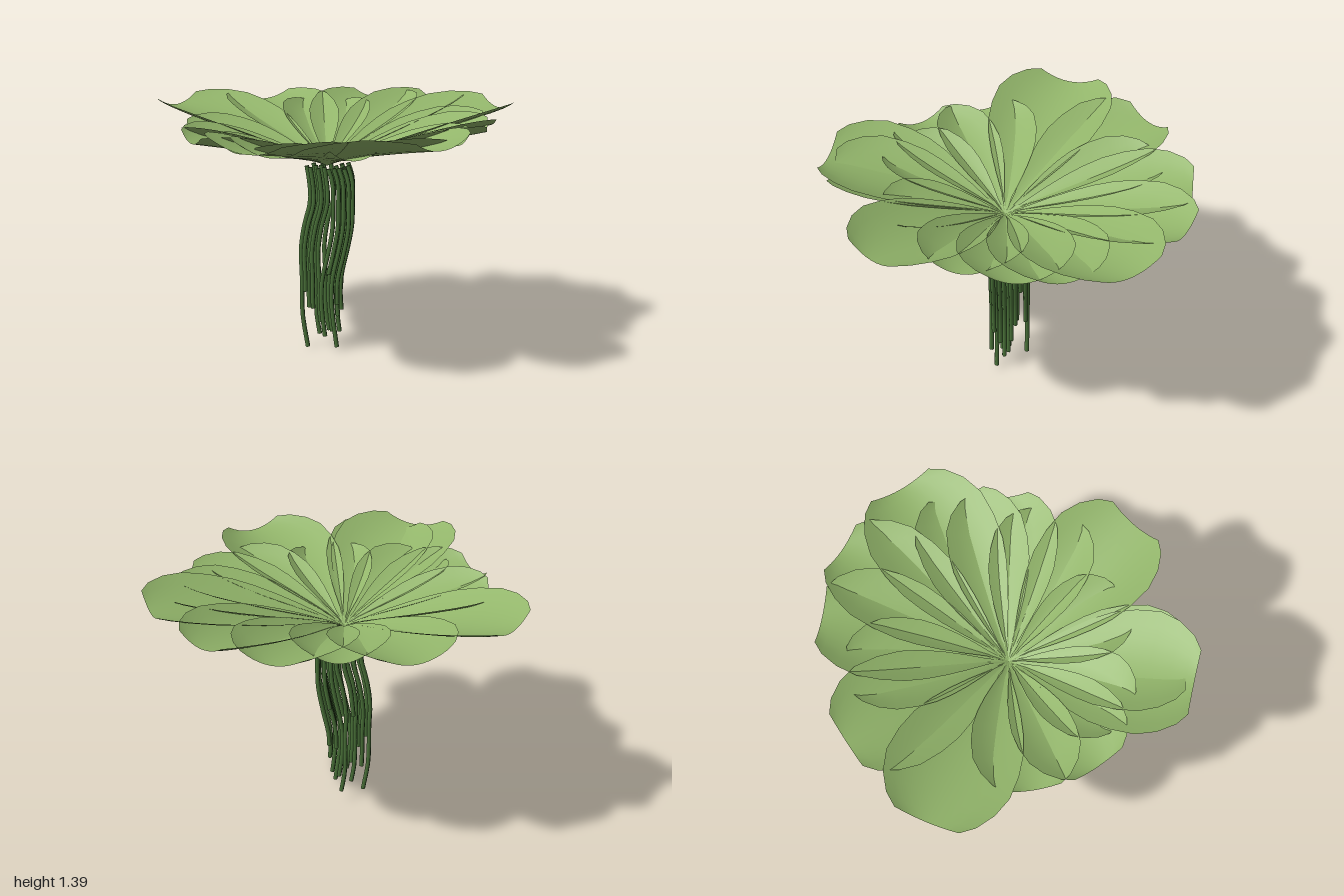
import * as THREE from 'three';

const leafGreen = new THREE.MeshStandardMaterial({ color: 0x92b56a, side: THREE.DoubleSide });
leafGreen.name = 'leaf green';
const rootGreen = new THREE.MeshStandardMaterial({ color: 0x4a7239 });
rootGreen.name = 'root green';

const CENTRE_X = 0.05, BASE_Y = 1.063;

// Stations along a leaf: [fraction of length, fraction of half width]
const PROFILE = [[0, 0.02], [0.1, 0.18], [0.2, 0.4], [0.3, 0.6], [0.4, 0.77], [0.5, 0.9], [0.62, 0.98],
  [0.75, 1], [0.86, 0.9], [0.95, 0.72], [1, 0.52]];

// Fan-shaped leaf: spine rises outwards, both sides curl up into a trough
function makeLeaf(angleDeg, length, halfWidth, lift) {
  const across = 10, pos = [], index = [];
  const a = THREE.MathUtils.degToRad(angleDeg), c = Math.cos(a), s = Math.sin(a);
  for (const [u, f] of PROFILE) {
    for (let j = 0; j <= across; j++) {
      const v = (j / across) * 2 - 1;
      const r = u * length, w = v * f * halfWidth;
      const y = 0.235 * Math.pow(r, 0.8) + 0.1 * f * v * v + lift * u;
      pos.push(c * r - s * w, y, s * r + c * w);
    }
  }
  const row = across + 1;
  for (let i = 0; i < PROFILE.length - 1; i++) {
    for (let j = 0; j < across; j++) {
      const p = i * row + j;
      index.push(p, p + 1, p + row, p + 1, p + row + 1, p + row);
    }
  }
  const geo = new THREE.BufferGeometry();
  geo.setAttribute('position', new THREE.Float32BufferAttribute(pos, 3));
  geo.setIndex(index);
  geo.computeVertexNormals();
  const mesh = new THREE.Mesh(geo, leafGreen);
  mesh.name = 'leaf';
  mesh.position.set(CENTRE_X, BASE_Y, 0);
  return mesh;
}

// [angle from +x towards +z, length, half width, lift at the tip]
const LEAVES = [
  [-87, 1.0, 0.31, 0], [-65, 1.05, 0.3, 0], [-39, 1.08, 0.35, 0.01], [-9, 0.88, 0.3, 0],
  [13, 0.8, 0.28, -0.01], [38.5, 0.98, 0.32, 0.005], [97.5, 0.99, 0.35, 0.005], [139, 0.8, 0.29, -0.01],
  [165, 0.79, 0.28, -0.01], [197, 1.05, 0.34, 0.01], [231, 0.99, 0.32, 0],
  // shorter leaves tucked between
  [91, 0.94, 0.3, -0.005], [116, 0.7, 0.26, -0.01], [62, 0.66, 0.24, -0.015],
  [-24, 0.92, 0.3, -0.01], [-106, 0.84, 0.26, -0.01],
];

// Sideways drift of the two root bundles: [height, x offset]
const LEFT_DRIFT = [[1.06, 0], [0.97, 0.015], [0.86, 0.02], [0.72, -0.015], [0.58, -0.035],
  [0.42, -0.03], [0.3, -0.03], [0.18, -0.025], [0, 0.005]];
const RIGHT_DRIFT = [[1.06, 0], [0.98, 0.025], [0.86, 0.028], [0.72, 0.025], [0.58, 0],
  [0.42, -0.035], [0.3, -0.04], [0.18, -0.03], [0, -0.005]];

function makeRoot(x, z, bottom, drift) {
  const pts = drift.filter(([y]) => y > bottom + 0.03).map(([y, dx]) => new THREE.Vector3(x + dx, y, z));
  // last point lies on the drift line at the root's own depth
  const k = drift.findIndex(([y]) => y <= bottom + 0.001);
  const [y0, d0] = drift[k - 1], [y1, d1] = drift[k];
  pts.push(new THREE.Vector3(x + THREE.MathUtils.mapLinear(bottom, y0, y1, d0, d1), bottom, z));
  const curve = new THREE.CatmullRomCurve3(pts);
  const root = new THREE.Group();
  root.name = 'root';
  root.add(new THREE.Mesh(new THREE.TubeGeometry(curve, 18, 0.013, 6), rootGreen));
  // end caps
  for (const [t, dir] of [[0, -1], [1, 1]]) {
    const cap = new THREE.Mesh(new THREE.CircleGeometry(0.013, 6), rootGreen);
    const p = curve.getPointAt(t);
    cap.position.copy(p);
    cap.lookAt(p.clone().addScaledVector(curve.getTangentAt(t), dir));
    root.add(cap);
  }
  root.children.forEach((m) => { m.name = 'rootPart'; });
  return root;
}

// [x, z, bottom height]
const LEFT_ROOTS = [[-0.06, 0.025, 0], [-0.045, -0.06, 0.21], [-0.03, 0.06, 0.34], [-0.015, 0, 0.45],
  [0.01, -0.02, 0.07], [0.02, 0.08, 0.25], [0.035, -0.125, 0.06], [0.045, 0.04, 0.16], [0, -0.095, 0.55]];
const RIGHT_ROOTS = [[0.08, 0.08, 0.09], [0.095, -0.02, 0.09], [0.105, 0.06, 0.45], [0.13, 0.045, 0.02],
  [0.12, -0.06, 0.3], [0.145, 0, 0.1], [0.155, 0.025, 0.2], [0.16, -0.04, 0.22], [0.165, 0.06, 0.28],
  [0.14, -0.12, 0.35], [0.11, -0.09, 0.57]];

export function createModel() {
  const model = new THREE.Group();
  model.name = 'floatingPlant';

  const rosette = new THREE.Group();
  rosette.name = 'leafRosette';
  LEAVES.forEach((leaf) => rosette.add(makeLeaf(...leaf)));

  const roots = new THREE.Group();
  roots.name = 'roots';
  LEFT_ROOTS.forEach((r) => roots.add(makeRoot(...r, LEFT_DRIFT)));
  RIGHT_ROOTS.forEach((r) => roots.add(makeRoot(...r, RIGHT_DRIFT)));

  model.add(rosette, roots);
  return model;
}
